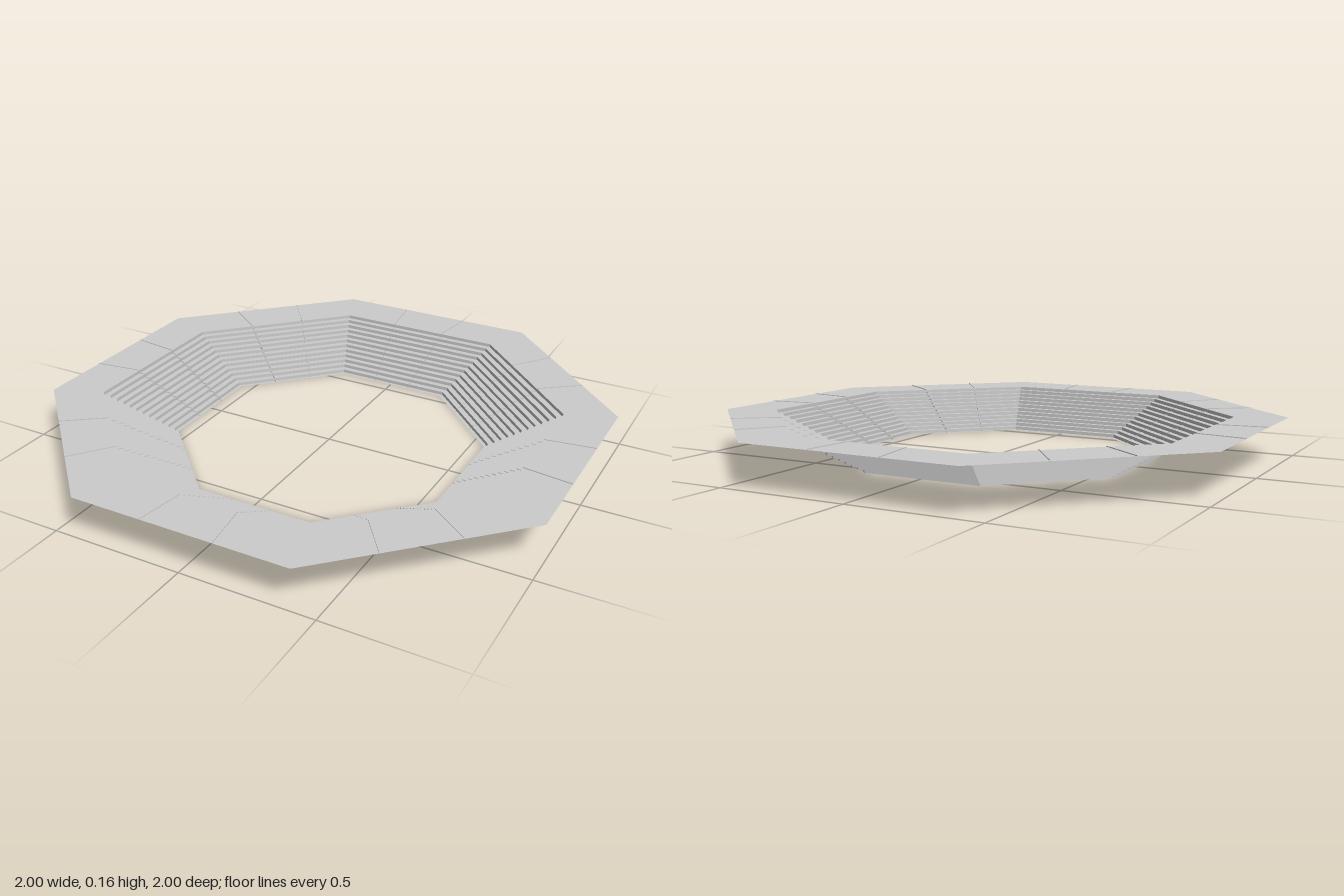
import * as THREE from 'three';

const SIDES = 8, STEPS = 12;
const RIM = 1, TOP = 0.815, BOTTOM = 0.565, LIP = 0.55;
const HEIGHT = 0.157, SEAM = 0.003;

// Cross-section as (distance to flat side, height), from inner lip to rim
function terraceProfile() {
  const pts = [[LIP, 0]];
  for (let i = 0; i < STEPS; i++) {
    const a = BOTTOM + (TOP - BOTTOM) * i / (STEPS - 1);
    pts.push([a, HEIGHT * i / STEPS], [a, HEIGHT * (i + 1) / STEPS]);
  }
  return pts;
}

// Sweep a cross-section around the octagon, flat sides facing the axes
function octagonRing(profile) {
  const k = 1 / Math.cos(Math.PI / SIDES);
  const pts = profile.map(([a, y]) => new THREE.Vector2(a * k, y));
  return new THREE.LatheGeometry(pts, SIDES, Math.PI / SIDES);
}

// Very thin upright joint that follows the cross-section across one side
function seamStrip(profile, ratio) {
  const pos = [], index = [];
  profile.forEach(([a, y], i) => {
    pos.push(a * ratio, y, a, a * ratio, y + SEAM, a);
    if (i) {
      const n = 2 * i;
      index.push(n - 2, n, n - 1, n, n + 1, n - 1);
    }
  });
  const g = new THREE.BufferGeometry();
  g.setAttribute('position', new THREE.Float32BufferAttribute(pos, 3));
  g.setIndex(index);
  g.computeVertexNormals();
  return g;
}

export function createModel() {
  const model = new THREE.Group();
  model.name = 'steppedOctagon';
  const material = new THREE.MeshStandardMaterial({
    color: 0xcccccc, flatShading: true, side: THREE.DoubleSide,
  });
  const add = (geometry, name) => {
    const mesh = new THREE.Mesh(geometry, material);
    mesh.name = name;
    model.add(mesh);
    return mesh;
  };

  // Terraced bowl and flat outer walkway
  const terraces = terraceProfile();
  const rim = [[TOP, HEIGHT], [RIM, HEIGHT]];
  add(octagonRing(terraces), 'terraces');
  add(octagonRing(rim), 'rim');

  // Joints dividing every side into three sections
  const section = [...terraces, rim[1]];
  const ratio = Math.tan(Math.PI / SIDES) / 3;
  for (const s of [-1, 1]) {
    const seam = seamStrip(section, s * ratio);
    for (let i = 0; i < SIDES; i++) {
      add(seam, 'sectionSeam').rotation.y = i * 2 * Math.PI / SIDES;
    }
  }
  return model;
}
